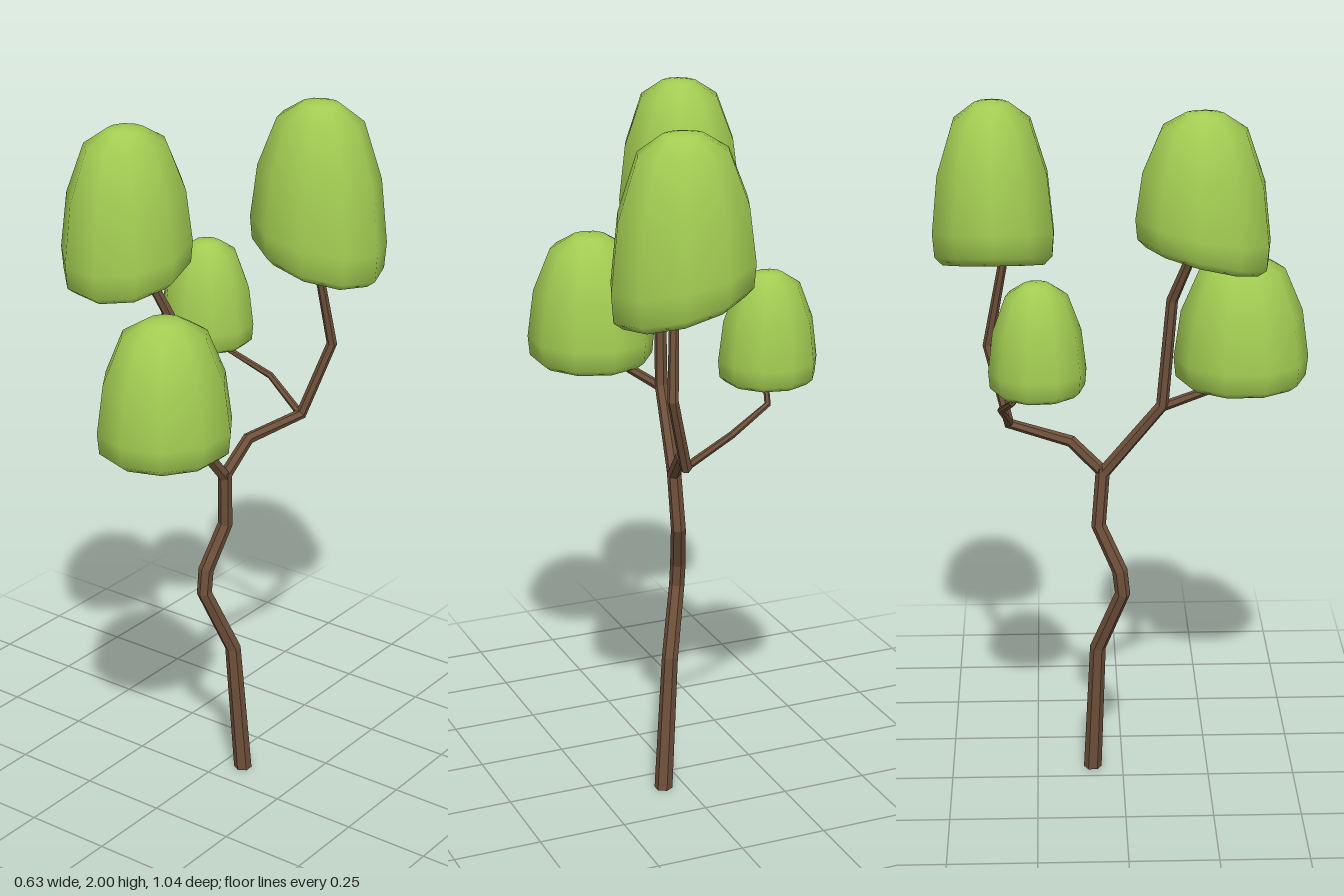
import * as THREE from 'three';
import { mergeVertices } from 'three/addons/utils/BufferGeometryUtils.js';

const bark = new THREE.MeshStandardMaterial({ color: 0x6e503a });
bark.name = 'bark brown';
const leaf = new THREE.MeshStandardMaterial({ color: 0xa3cc52 });
leaf.name = 'leaf green';

const SIDES = 6;

// Faceted limb: hexagonal rings swept along nodes of [x, y, z, radius]
function limb(name, nodes) {
  const pts = nodes.map(([x, y, z]) => new THREE.Vector3(x, y, z));
  const up = new THREE.Vector3(0, 1, 0);
  const pos = [], index = [], last = pts.length - 1;
  pts.forEach((p, i) => {
    const dir = new THREE.Vector3();
    if (i > 0) dir.add(p.clone().sub(pts[i - 1]).normalize());
    if (i < last) dir.add(pts[i + 1].clone().sub(p).normalize());
    // the foot stays level with the ground
    if (p.y === 0) dir.copy(up);
    const turn = new THREE.Quaternion().setFromUnitVectors(up, dir.normalize());
    for (let k = 0; k < SIDES; k++) {
      const a = (k / SIDES) * Math.PI * 2, r = nodes[i][3];
      const v = new THREE.Vector3(Math.sin(a) * r, 0, Math.cos(a) * r).applyQuaternion(turn).add(p);
      pos.push(v.x, v.y, v.z);
      if (i < last) {
        const n = (k + 1) % SIDES, b = i * SIDES, t = b + SIDES;
        index.push(b + k, b + n, t + n, b + k, t + n, t + k);
      }
    }
  });
  // end caps
  for (let k = 1; k < SIDES - 1; k++) {
    const t = last * SIDES;
    index.push(0, k + 1, k, t, t + k, t + k + 1);
  }
  const geo = new THREE.BufferGeometry();
  geo.setAttribute('position', new THREE.Float32BufferAttribute(pos, 3));
  geo.setIndex(index);
  const flat = geo.toNonIndexed();
  flat.computeVertexNormals();
  const mesh = new THREE.Mesh(flat, bark);
  mesh.name = name;
  return mesh;
}

// Crown outline from the hollow underside to the tip: [radius, height]
const CROWN = [[0, 0.14], [0.45, 0.07], [0.84, 0], [0.97, 0.05], [1, 0.2],
  [0.9, 0.56], [0.63, 0.88], [0.28, 0.98], [0, 1]];

// Smooth domed crown whose lower rim tilts along x and z
function crown(name, { x, z, rx, rz, low, top, tiltX = 0, tiltZ = 0, spin = 0 }) {
  let geo = new THREE.LatheGeometry(CROWN.map(([r, h]) => new THREE.Vector2(r, h)), 10);
  geo.rotateY(spin);
  geo.deleteAttribute('uv');
  geo.deleteAttribute('normal');
  const p = geo.attributes.position;
  for (let i = 0; i < p.count; i++) {
    const h = p.getY(i), px = p.getX(i) * rx, pz = p.getZ(i) * rz;
    const y = low + h * (top - low) + (1 - h) * (tiltX * px + tiltZ * pz);
    p.setXYZ(i, x + px, y, z + pz);
  }
  geo = mergeVertices(geo, 1e-4);
  geo.computeVertexNormals();
  const mesh = new THREE.Mesh(geo, leaf);
  mesh.name = name;
  return mesh;
}

export function createModel() {
  const tree = new THREE.Group();
  tree.name = 'tree';

  // Crooked trunk and the limbs leaving its fork
  tree.add(
    limb('trunk', [[0.062, 0, -0.088, 0.026], [0.035, 0.4, -0.072, 0.023], [-0.016, 0.59, -0.002, 0.022],
      [-0.016, 0.66, -0.01, 0.022], [0.008, 0.79, -0.069, 0.021], [0.016, 0.96, -0.056, 0.02]]),
    limb('frontLimb', [[0.016, 0.94, -0.06, 0.019], [-0.015, 1.155, 0.108, 0.018],
      [-0.022, 1.46, 0.133, 0.016], [-0.1, 1.69, 0.215, 0.013]]),
    limb('frontTwig', [[-0.015, 1.15, 0.105, 0.014], [0.04, 1.18, 0.24, 0.013], [0.11, 1.25, 0.32, 0.011]]),
    limb('backLimb', [[0.016, 0.945, -0.053, 0.018], [0.032, 1.035, -0.145, 0.017],
      [0.093, 1.068, -0.318, 0.016], [0.155, 1.28, -0.375, 0.015], [0.125, 1.6, -0.315, 0.012]]),
    limb('backTwig', [[0.093, 1.068, -0.315, 0.011], [-0.03, 1.15, -0.338, 0.01],
      [-0.15, 1.21, -0.305, 0.009], [-0.165, 1.3, -0.25, 0.008]]),
  );

  // Leafy crowns
  tree.add(
    crown('upperFrontCrown', { x: -0.112, z: 0.21, rx: 0.172, rz: 0.186, low: 1.6, top: 2,
      tiltX: -0.05, tiltZ: -0.25, spin: 0.2 }),
    crown('lowerFrontCrown', { x: 0.108, z: 0.334, rx: 0.18, rz: 0.189, low: 1.18, top: 1.555, spin: 0 }),
    crown('upperBackCrown', { x: 0.117, z: -0.352, rx: 0.198, rz: 0.174, low: 1.525, top: 1.985,
      tiltX: -0.25, tiltZ: 0, spin: 0.3 }),
    crown('lowerBackCrown', { x: -0.181, z: -0.235, rx: 0.136, rz: 0.132, low: 1.255, top: 1.56, spin: 0.1 }),
  );
  return tree;
}
